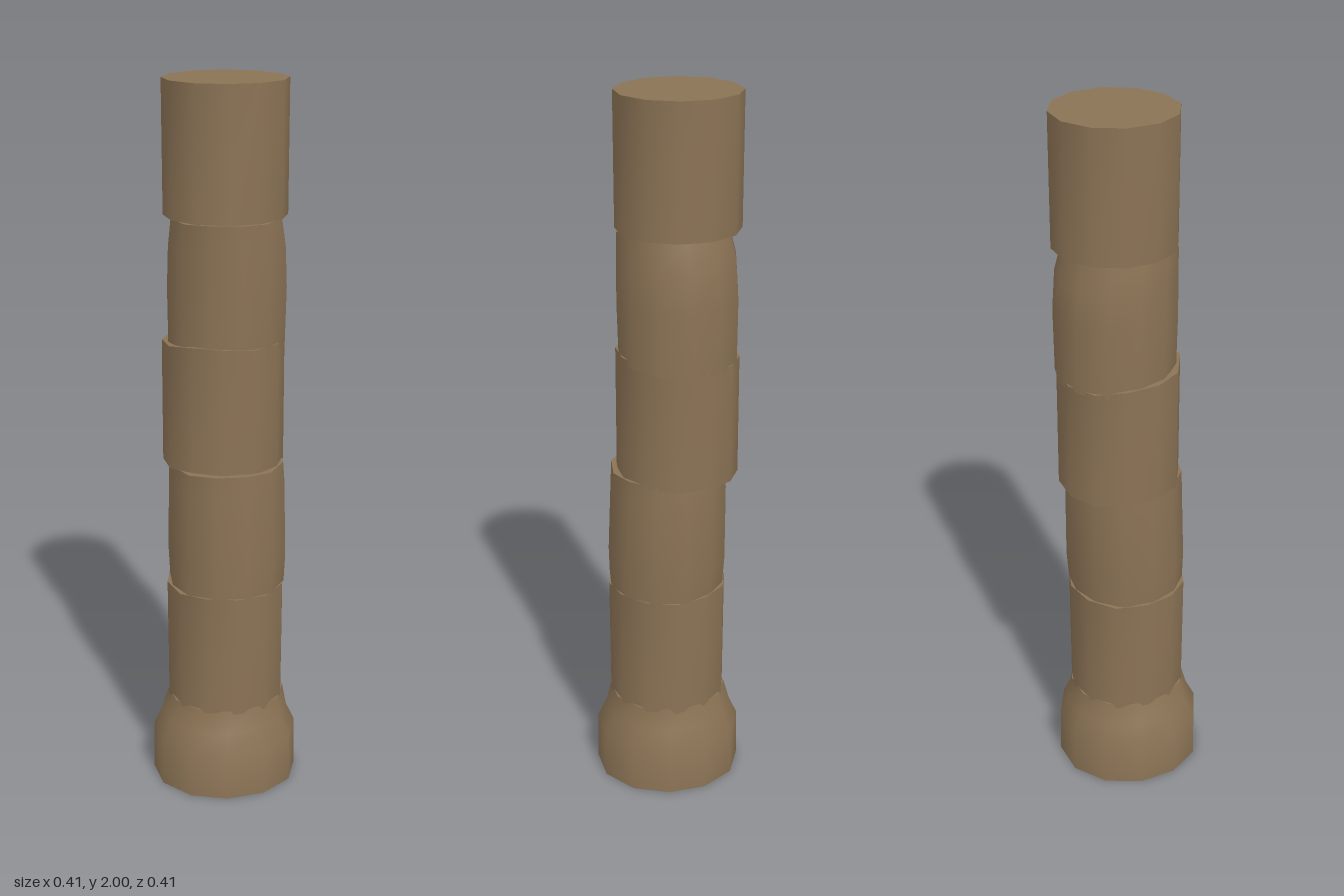
import * as THREE from 'three';
import { toCreasedNormals } from 'three/addons/utils/BufferGeometryUtils.js';

const SIDES = 12;

// Rings run from top to bottom: [y, centre x, centre z, radius, tilt towards z]
function drum(name, rings, turn, wobble, chip, material) {
  const rows = rings.length - 1;
  const geometry = new THREE.CylinderGeometry(1, 1, 1, SIDES, rows);
  geometry.rotateY(turn);
  const p = geometry.attributes.position;
  for (let i = 0; i < p.count; i++) {
    const [y, cx, cz, r, tilt = 0] = rings[Math.round((0.5 - p.getY(i)) * rows)];
    const x = p.getX(i), z = p.getZ(i);
    const rim = Math.hypot(x, z);
    const a = Math.atan2(z, x);
    const radius = r * (1 + wobble * Math.sin(3 * a + turn * 7));
    const edge = chip * rim * Math.sin(4 * a + turn * 5);
    p.setXYZ(i, cx + x * radius, y + tilt * z * r + edge, cz + z * radius);
  }
  const mesh = new THREE.Mesh(toCreasedNormals(geometry, 0.8), material);
  mesh.name = name;
  return mesh;
}

export function createModel() {
  const stone = new THREE.MeshStandardMaterial({ color: 0x8b7355 });
  stone.name = 'brown stone';
  const column = new THREE.Group();
  column.name = 'column';

  column.add(
    // Flared foot
    drum('base', [
      [0.255, 0.004, 0, 0.166], [0.19, 0, 0, 0.182],
      [0.14, 0, 0.002, 0.206], [0, 0, 0.002, 0.208],
    ], 0.1, 0.015, 0, stone),
    // Weathered shaft drums, each slightly shifted
    drum('lowerDrum', [
      [0.6, 0.004, 0, 0.168], [0.245, 0.004, 0, 0.166],
    ], 0.25, 0.005, 0.003, stone),
    drum('secondDrum', [
      [0.955, 0.006, -0.005, 0.161], [0.9, 0.007, -0.006, 0.164],
      [0.68, 0.008, -0.001, 0.168], [0.6, 0.008, 0.001, 0.164],
    ], 0.4, 0.012, 0.003, stone),
    drum('middleDrum', [
      [1.295, -0.003, -0.03, 0.168, 0.08], [0.95, -0.003, -0.03, 0.168, 0.03],
    ], 0.05, 0.005, 0.004, stone),
    drum('fourthDrum', [
      [1.638, 0.005, -0.019, 0.153], [1.56, 0.006, -0.031, 0.163],
      [1.45, 0.006, -0.035, 0.167], [1.28, 0.005, -0.036, 0.164, 0.06],
    ], 0.3, 0.01, 0.002, stone),
    drum('topDrum', [
      [2, 0.003, -0.036, 0.169], [1.64, 0.003, -0.036, 0.168],
    ], 0.08, 0.006, 0, stone),
  );
  return column;
}
